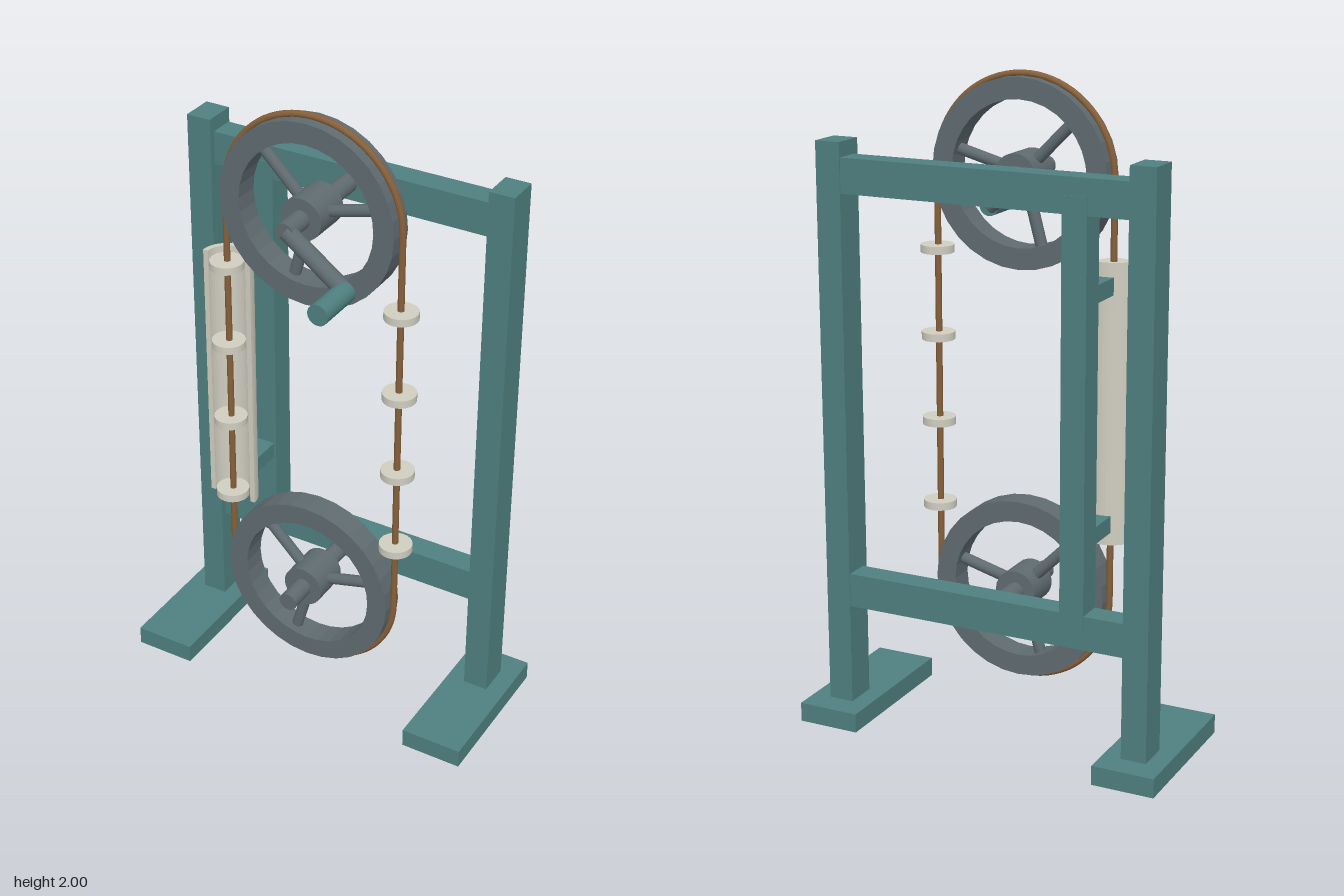
import * as THREE from 'three';

const mat = (color) => new THREE.MeshStandardMaterial({ color });
const TOP = 1.703, LOW = 0.425;      // wheel axle heights
const ROPE_R = 0.287, Z = 0.037;     // rope radius and plane

export function createModel() {
  const model = new THREE.Group();
  const teal = mat(0x4f7f7f), iron = mat(0x5f6b70), cream = mat(0xd0cdc0), brown = mat(0x86603a);

  const add = (name, geometry, material, parent = model) => {
    const mesh = new THREE.Mesh(geometry, material);
    mesh.name = name;
    parent.add(mesh);
    return mesh;
  };
  // box given by its min and max on each axis
  const box = (name, x0, x1, y0, y1, z0, z1) =>
    add(name, new THREE.BoxGeometry(x1 - x0, y1 - y0, z1 - z0), teal)
      .position.set((x0 + x1) / 2, (y0 + y1) / 2, (z0 + z1) / 2);
  // cylinder between two points
  const rod = (name, a, b, r, material, parent = model, sides = 24) => {
    const p = new THREE.Vector3(...a), q = new THREE.Vector3(...b);
    const mesh = add(name, new THREE.CylinderGeometry(r, r, p.distanceTo(q), sides), material, parent);
    mesh.position.copy(p).add(q).multiplyScalar(0.5);
    mesh.quaternion.setFromUnitVectors(new THREE.Vector3(0, 1, 0), q.sub(p).normalize());
    return mesh;
  };

  // Frame: feet, posts, cross rails
  for (const s of [-1, 1]) {
    const [f0, f1] = s < 0 ? [-0.59, -0.395] : [0.395, 0.59];
    const [p0, p1] = s < 0 ? [-0.532, -0.453] : [0.453, 0.532];
    box('foot', f0, f1, 0, 0.06, -0.327, 0.16);
    box('post', p0, p1, 0.06, 1.80, -0.247, -0.143);
  }
  box('upperRail', -0.453, 0.453, 1.65, 1.755, -0.243, -0.164);
  box('lowerRail', -0.453, 0.453, 0.375, 0.48, -0.243, -0.164);

  // Upright and brackets that hold the guide pipe
  box('guideUpright', -0.328, -0.252, 0.43, 1.703, -0.246, -0.161);
  for (const y of [0.695, 1.412]) box('guideBracket', -0.32, -0.26, y - 0.026, y + 0.026, -0.165, -0.035);

  // Half-open guide pipe, open to the front
  const half = new THREE.Shape();
  half.absarc(0, 0, 0.08, 0, Math.PI, false);
  half.absarc(0, 0, 0.064, Math.PI, 0, true);
  half.closePath();
  const pipe = new THREE.ExtrudeGeometry(half, { depth: 0.85, bevelEnabled: false, curveSegments: 16 });
  pipe.rotateX(-Math.PI / 2);
  add('guidePipe', pipe, cream).position.set(-0.29, 0.63, Z);

  // Wheels: rim, hub, three spokes, axle
  const ring = new THREE.Shape().absarc(0, 0, 0.281, 0, Math.PI * 2, false);
  ring.holes.push(new THREE.Path().absarc(0, 0, 0.217, 0, Math.PI * 2, true));
  const rim = new THREE.ExtrudeGeometry(ring, { depth: 0.08, bevelEnabled: false, curveSegments: 16 });
  rim.translate(0, 0, -0.04);
  for (const [name, y] of [['upperWheel', TOP], ['lowerWheel', LOW]]) {
    const wheel = new THREE.Group();
    wheel.name = name;
    wheel.position.set(0, y, Z);
    model.add(wheel);
    add('rim', rim, iron, wheel);
    rod('hub', [0, 0, -0.062], [0, 0, 0.062], 0.065, iron, wheel);
    rod('axle', [0, 0, -0.205], [0, 0, 0.152], 0.029, iron, wheel);
    for (const deg of [15, 135, 255]) {
      const a = THREE.MathUtils.degToRad(deg), c = Math.cos(a), s = Math.sin(a);
      rod('spoke', [c * 0.05, s * 0.05, 0], [c * 0.225, s * 0.225, 0], 0.018, iron, wheel, 12);
    }
  }

  // Crank with handle
  rod('crankArm', [0, TOP, 0.175], [0.187, 1.567, 0.175], 0.026, iron);
  rod('crankHandle', [0.187, 1.567, 0.176], [0.187, 1.567, 0.326], 0.032, teal);

  // Endless rope: two straight runs joined by half circles
  const span = TOP - LOW, arc = Math.PI * ROPE_R, loop = 2 * (span + arc);
  class RopeCurve extends THREE.Curve {
    getPoint(t, target = new THREE.Vector3()) {
      let d = (((t % 1) + 1) % 1) * loop;
      const side = d < span + arc ? 1 : -1;
      if (side < 0) d -= span + arc;
      let x = ROPE_R, y = d - span / 2;
      if (d > span) {
        const a = (d - span) / ROPE_R;
        x = ROPE_R * Math.cos(a);
        y = span / 2 + ROPE_R * Math.sin(a);
      }
      return target.set(side * x, (TOP + LOW) / 2 + side * y, Z);
    }
  }
  add('rope', new THREE.TubeGeometry(new RopeCurve(), 180, 0.01, 10, true), brown);

  // Discs threaded on both runs of the rope
  for (const x of [-0.289, 0.289])
    for (const y of [0.651, 0.919, 1.187, 1.455])
      rod('ropeDisc', [x, y - 0.012, Z], [x, y + 0.012, Z], 0.051, cream);

  return model;
}
